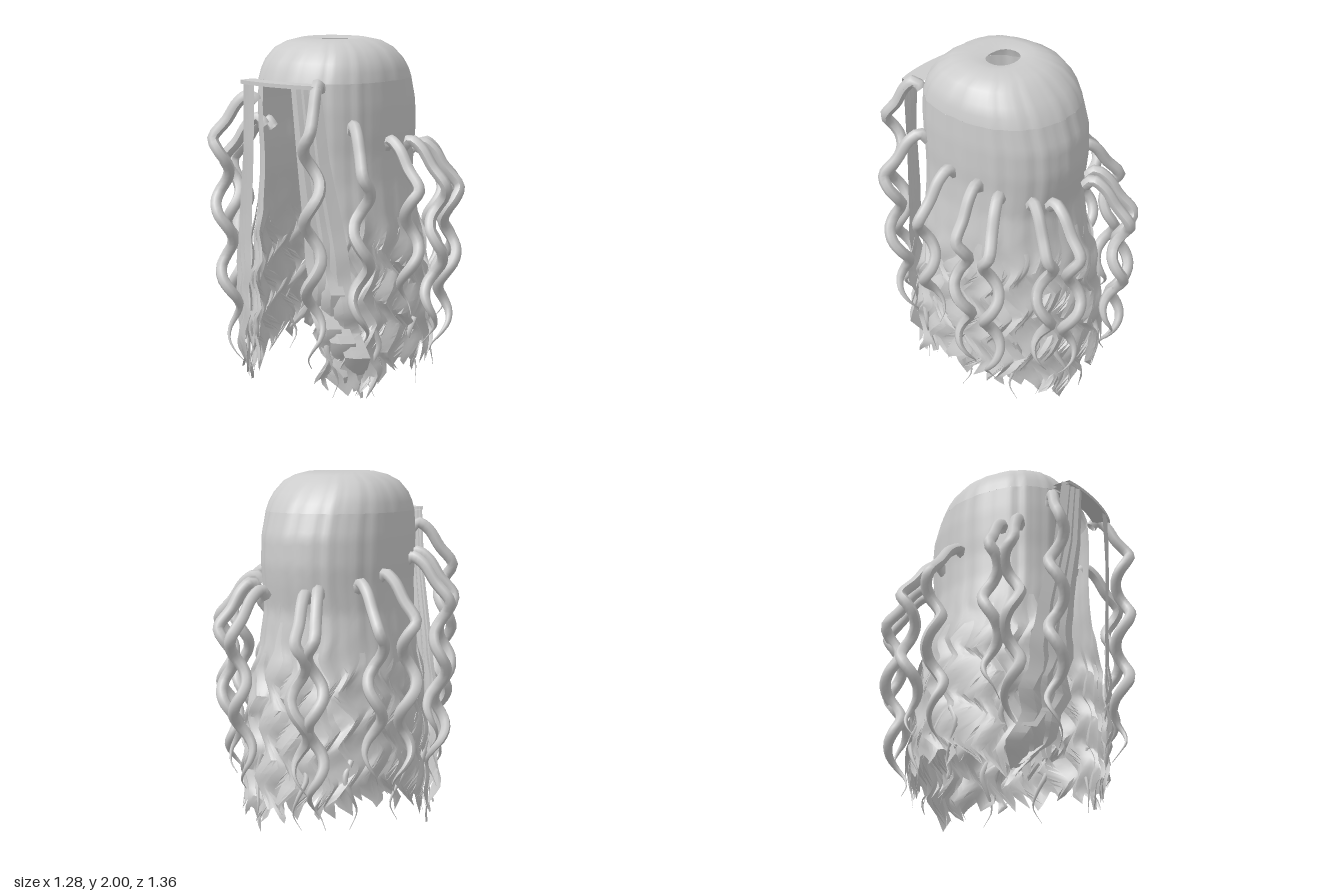
import * as THREE from 'three';
import { toCreasedNormals } from 'three/addons/utils/BufferGeometryUtils.js';

const material = new THREE.MeshStandardMaterial({ color: 0xcccccc, side: THREE.DoubleSide });
const { lerp, clamp, smoothstep } = THREE.MathUtils;

// Egg-shaped cross-sections: height, half width, reach to the front, reach to the back
const SECTIONS = [
  [1.98, 0.095, 0.08, 0.08], [1.995, 0.17, 0.19, 0.14], [1.975, 0.24, 0.27, 0.24], [1.94, 0.305, 0.325, 0.3],
  [1.88, 0.35, 0.375, 0.365], [1.83, 0.368, 0.4, 0.405], [1.78, 0.378, 0.415, 0.43], [1.65, 0.385, 0.42, 0.475],
  [1.5, 0.385, 0.415, 0.485], [1.4, 0.38, 0.41, 0.475], [1.25, 0.385, 0.41, 0.45], [1.1, 0.405, 0.415, 0.47],
  [0.9, 0.425, 0.42, 0.505], [0.7, 0.44, 0.43, 0.535], [0.4, 0.455, 0.44, 0.57], [0.0, 0.465, 0.44, 0.59],
];
const BROW = 6;
const CENTRE_Z = 0.05;
const OPENING = 0.44;

function seeded(seed) {
  return () => {
    seed = (seed * 16807) % 2147483647;
    return seed / 2147483647;
  };
}

const triangleWave = (p) => 4 * Math.abs(p - Math.floor(p + 0.5)) - 1;
const ridge = (t) => 1 + 0.006 * Math.sin(t * 19) + 0.005 * Math.sin(t * 31);

// Point of the egg at angle t (0 is the front, growing towards +x)
function eggPoint(t, [y, w, front, back], scale = 1) {
  const s = Math.sin(t), c = Math.cos(t);
  const e = c > 0 ? 2 / 2.5 : 2 / 2.15;
  const x = Math.sign(s) * w * Math.abs(s) ** e;
  const z = Math.sign(c) * (c > 0 ? front : back) * Math.abs(c) ** e;
  return new THREE.Vector3(x * scale - 0.01, y, CENTRE_Z + z * scale);
}

// Interpolated cross-section below the crown
function sectionAt(y) {
  let i = BROW;
  while (i < SECTIONS.length - 2 && SECTIONS[i + 1][0] > y) i++;
  const a = SECTIONS[i], b = SECTIONS[i + 1];
  const k = clamp((a[0] - y) / (a[0] - b[0]), 0, 1);
  return [y, ...[1, 2, 3].map((n) => lerp(a[n], b[n], k))];
}

// Crimped hair surface: smooth at the top, zigzag pleats further down
function hairPoint(t, y, lift = 0) {
  const wild = smoothstep(-y, -1.2, -0.8);
  const phase = y / 0.28 + 0.35 * Math.sin(t * 4);
  const pleat = 0.03 * triangleWave((t * 20) / (Math.PI * 2)) + 0.02 * triangleWave(phase + 0.25);
  return eggPoint(t + 0.1 * wild * triangleWave(phase), sectionAt(y), ridge(t) + wild * pleat + lift);
}

// Sheet from a rule: u runs across, v runs down
function sheet(nu, nv, rule, crease = 0.5) {
  const pos = [], index = [];
  for (let j = 0; j <= nv; j++)
    for (let i = 0; i <= nu; i++) pos.push(...rule(i / nu, j / nv, i, j).toArray());
  for (let j = 0; j < nv; j++)
    for (let i = 0; i < nu; i++) {
      const a = j * (nu + 1) + i, b = a + nu + 1;
      index.push(a, b, a + 1, a + 1, b, b + 1);
    }
  const g = new THREE.BufferGeometry();
  g.setAttribute('position', new THREE.Float32BufferAttribute(pos, 3));
  g.setIndex(index);
  return toCreasedNormals(g, crease);
}

// Round lock that thins towards its end
function taperedTube(points, radius, segments, taperStart) {
  const curve = new THREE.CatmullRomCurve3(points);
  const g = new THREE.TubeGeometry(curve, segments, radius, 7);
  const p = g.attributes.position, v = new THREE.Vector3();
  for (let i = 0; i <= segments; i++) {
    const c = curve.getPointAt(i / segments);
    const k = 1 - 0.93 * smoothstep(i / segments, taperStart, 1);
    for (let j = 0; j < 8; j++) {
      const n = i * 8 + j;
      v.fromBufferAttribute(p, n).sub(c).multiplyScalar(k).add(c);
      p.setXYZ(n, v.x, v.y, v.z);
    }
  }
  g.computeVertexNormals();
  return g;
}

export function createModel() {
  const model = new THREE.Group();
  const add = (name, geometry, parent = model) => {
    const mesh = new THREE.Mesh(geometry, material);
    mesh.name = name;
    parent.add(mesh);
  };
  const addGroup = (name) => {
    const g = new THREE.Group();
    g.name = name;
    model.add(g);
    return g;
  };
  const rand = seeded(77);

  // Smooth crown with a hole at the top and faint combed ridges
  add('crown', sheet(96, BROW, (u, v, i, j) => eggPoint(u * Math.PI * 2, SECTIONS[j], ridge(u * Math.PI * 2)), 1.4));

  // Long hair around the sides and back, its hem dipping in three places
  const dip = (t, at, width) => Math.exp(-(((t - at) / width) ** 2));
  const hem = (t) => 0.25 - 0.16 * dip(t, 5.2, 0.4) - 0.13 * dip(t, 2.85, 0.35) - 0.1 * dip(t, 0.85, 0.4);
  const columns = 100;
  const tips = Array.from({ length: columns / 5 + 1 }, () => 0.04 + rand() * 0.05);
  add('longHair', sheet(columns, 48, (u, v, i) => {
    const t = lerp(OPENING, Math.PI * 2 - OPENING, u);
    const jag = tips[Math.floor(i / 5)] * triangleWave(i / 5);
    return hairPoint(t, lerp(1.78, Math.max(0.03, hem(t) + jag), v));
  }));

  // Broad crimped locks layered over the long hair, ending in points
  const locks = addGroup('crimpedLocks');
  const lockCount = 20;
  for (let n = 0; n < lockCount; n++) {
    const t0 = lerp(OPENING + 0.12, Math.PI * 2 - OPENING - 0.12, n / (lockCount - 1));
    const top = 0.75 + rand() * 0.45;
    const bottom = Math.max(0.03, hem(t0) - 0.08 + rand() * 0.1);
    const width = 0.16 + rand() * 0.08;
    add('crimpedLock', sheet(4, 28, (u, v) => {
      const w = width * Math.min(1, 0.3 + v * 4, (1 - v) * 5 + 0.03);
      return hairPoint(t0 + (u - 0.5) * w, lerp(top, bottom, v), 0.05 * Math.min(1, v * 5));
    }), locks);
  }

  // Thin rolled hairline across the forehead
  add('hairline', sheet(12, 3, (u, v, i, j) => {
    const x = lerp(-0.25, 0.25, u), bow = 1 - (x / 0.3) ** 2;
    return new THREE.Vector3(x, [1.785, 1.785, 1.765, 1.765][j], [0.42, 0.52, 0.52, 0.42][j] + 0.065 * bow ** 0.6);
  }));

  // Front panels framing the face: distance from the middle, half width, height, depth
  const panels = addGroup('facePanels');
  const PANELS = [
    { side: -1, rows: [[0.2, 0.06, 1.78, 0.54], [0.23, 0.07, 1.4, 0.52], [0.3, 0.09, 1.0, 0.48],
      [0.35, 0.11, 0.6, 0.46], [0.4, 0.1, 0.25, 0.42], [0.45, 0.03, 0, 0.31]] },
    { side: 1, rows: [[0.2, 0.07, 1.78, 0.54], [0.23, 0.07, 1.4, 0.52], [0.27, 0.09, 1.0, 0.48],
      [0.31, 0.1, 0.6, 0.46], [0.34, 0.1, 0.35, 0.42], [0.36, 0.03, 0.1, 0.35]] },
  ];
  for (const { side, rows } of PANELS)
    for (let layer = 0; layer < 3; layer++) {
      add('faceStrip', sheet(2, 30, (u, v, i) => {
        const f = v * (rows.length - 1), k = Math.min(Math.floor(f), rows.length - 2);
        const [c, w, y, depth] = rows[k].map((a, n) => lerp(a, rows[k + 1][n], f - k));
        const wild = smoothstep(v, 0.35, 0.7);
        const across = layer * 0.55 - 0.55 + (u - 0.5) * Math.min(1.1, (1 - v) * 8 + 0.03);
        const wave = triangleWave(y / 0.28 + layer * 0.12);
        const x = side * (c + across * w) + 0.03 * wild * wave;
        const z = depth - across * 0.06 * (0.4 + v) + (i === 1 ? 0.02 : 0) + 0.012 * wild * wave;
        return new THREE.Vector3(x, y + Math.abs(layer - 2) * 0.05 * v, z);
      }), panels);
    }

  // Ringlets: root x and z, hanging x and z, top height, end height
  const RINGLETS = [
    [-0.14, -0.44, -0.22, -0.62, 1.38, 0.3], [-0.2, -0.41, -0.3, -0.58, 1.4, 0.12],
    [-0.33, -0.23, -0.51, -0.33, 1.43, 0.35], [-0.37, -0.07, -0.58, -0.11, 1.47, 0.25],
    [-0.37, 0.2, -0.57, 0.24, 1.54, 0.45], [-0.35, 0.29, -0.53, 0.35, 1.56, 0.2],
    [-0.26, 0.44, -0.41, 0.55, 1.71, 0.2], [0.22, 0.46, 0.29, 0.6, 1.8, 0.28],
    [0.33, 0.32, 0.48, 0.43, 1.58, 0.37], [0.37, 0.08, 0.56, 0.1, 1.48, 0.53],
    [0.36, -0.1, 0.55, -0.14, 1.46, 0.3], [0.34, -0.23, 0.51, -0.32, 1.43, 0.22],
    [0.25, -0.38, 0.33, -0.54, 1.41, 0.35], [0.15, -0.43, 0.18, -0.62, 1.38, 0.28],
  ];
  const ringlets = addGroup('ringlets');
  RINGLETS.forEach(([rx, rz, hx, hz, top, end], n) => {
    const at = (k, y) => new THREE.Vector3(lerp(rx, hx, k), y, lerp(rz, hz, k));
    const points = [at(-0.1, top - 0.05), at(0.1, top - 0.01), at(0.45, top - 0.05), at(0.8, top - 0.15)];
    const start = top - 0.25, turn = Math.atan2(hz, hx);
    const steps = Math.round((start - end) / 0.06);
    for (let i = 0; i <= steps; i++) {
      const y = lerp(start, end, i / steps);
      const a = turn + (n % 2 ? 1 : -1) * (start - y) / 0.38 * Math.PI * 2;
      const pull = 1 - 0.12 * (i / steps) ** 2;
      points.push(new THREE.Vector3(hx * pull + 0.042 * Math.cos(a), y, hz * pull + 0.042 * Math.sin(a)));
    }
    add('ringlet', taperedTube(points, 0.032, 60, 0.7), ringlets);
  });

  // Fine wisps hanging out of the hem
  const wisps = addGroup('wisps');
  for (let n = 0; n < 10; n++) {
    const t = lerp(0.6, Math.PI * 2 - 0.6, n / 9), bend = n % 2 ? 0.07 : -0.07;
    const points = [0, 1, 2, 3, 4].map((i) =>
      eggPoint(t + bend * Math.sin(i * 1.6), sectionAt(0.48 - i * 0.095), 1.02 + 0.04 * Math.sin(i * 1.3 + n)));
    add('wisp', taperedTube(points, 0.016, 14, 0.2), wisps);
  }

  return model;
}
